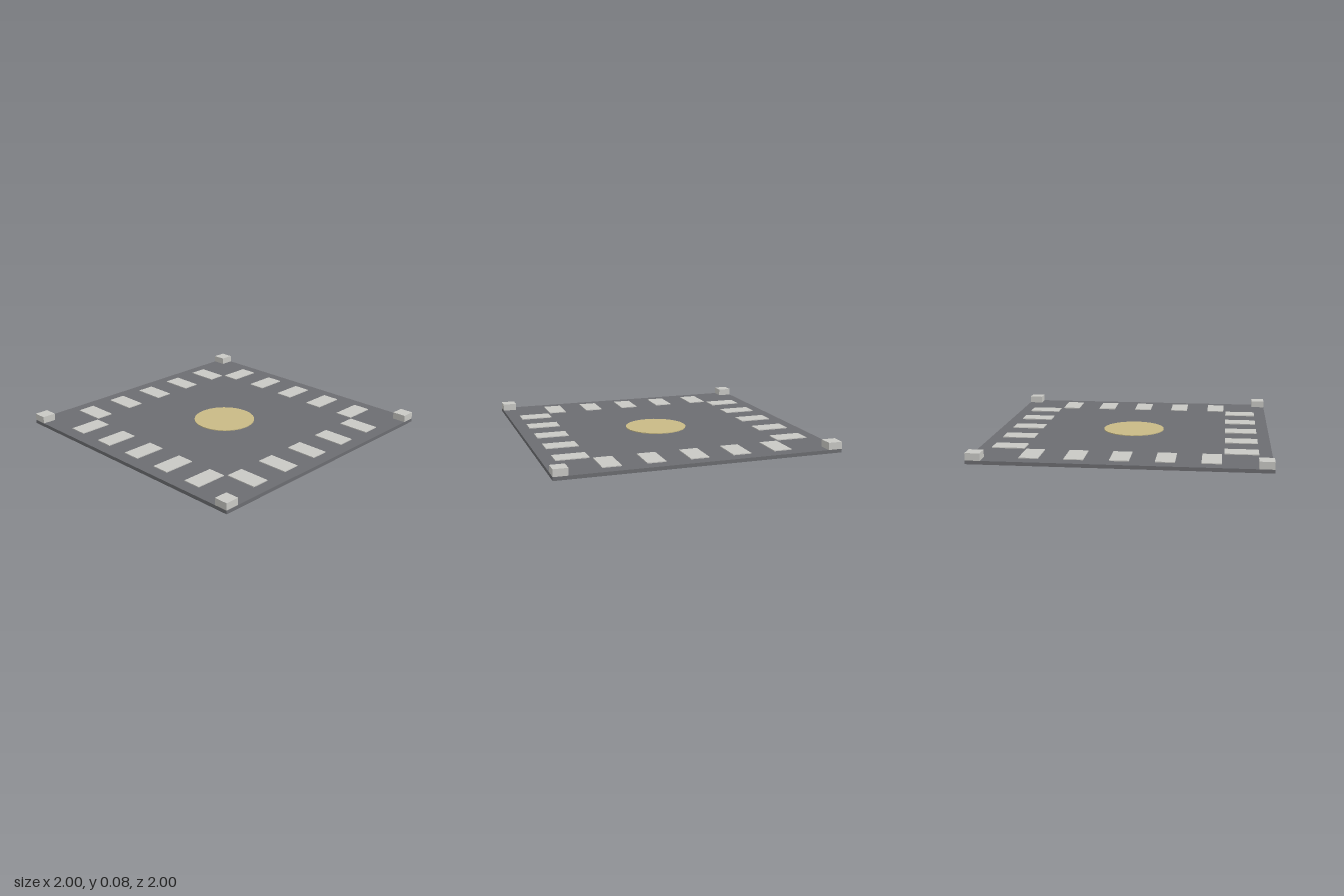
import * as THREE from 'three';

export function createModel() {
  const model = new THREE.Group();
  model.name = 'floorTile';

  const material = (name, color) => {
    const m = new THREE.MeshStandardMaterial({ color });
    m.name = name;
    return m;
  };
  const slabGrey = material('slab grey', 0x6c6d71);
  const paleGrey = material('pale grey', 0xc8c8c4);
  const sand = material('sand', 0xc8ba86);

  const add = (name, geometry, mat, x, y, z) => {
    const mesh = new THREE.Mesh(geometry, mat);
    mesh.name = name;
    mesh.position.set(x, y, z);
    model.add(mesh);
    return mesh;
  };

  const slabTop = 0.025;
  const rise = 0.006;

  // Square base slab
  add('slab', new THREE.BoxGeometry(2, slabTop, 2), slabGrey, 0, slabTop / 2, 0);

  // Raised block on each corner
  const blockGeometry = new THREE.BoxGeometry(0.1, 0.05, 0.1);
  for (const x of [-0.95, 0.95]) {
    for (const z of [-0.95, 0.95]) {
      add('cornerBlock', blockGeometry, paleGrey, x, slabTop + 0.025, z);
    }
  }

  // Five thin pads along each side, long axis pointing to the middle
  const padAcross = new THREE.BoxGeometry(0.23, rise, 0.13);
  const padAlong = new THREE.BoxGeometry(0.13, rise, 0.23);
  const padY = slabTop + rise / 2;
  for (let i = -2; i <= 2; i++) {
    for (const side of [-1, 1]) {
      add('sidePad', padAcross, paleGrey, side * 0.797, padY, i * 0.3);
      add('endPad', padAlong, paleGrey, i * 0.3, padY, side * 0.797);
    }
  }

  // Round plate in the middle
  const disc = new THREE.CylinderGeometry(0.225, 0.225, rise, 24).toNonIndexed();
  disc.computeVertexNormals();
  add('centreDisc', disc, sand, 0, padY, 0);

  return model;
}
